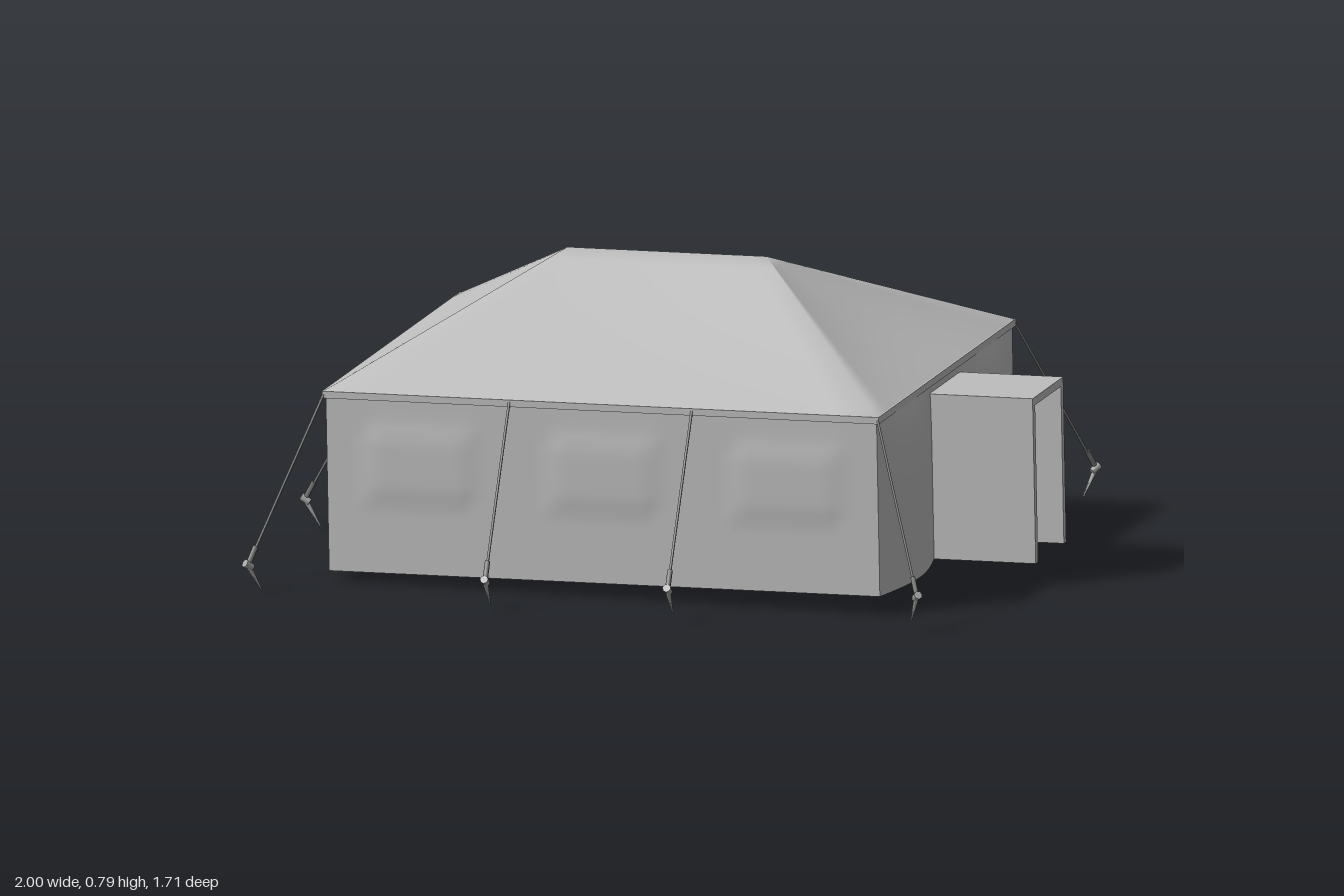
import * as THREE from 'three';
import { mergeVertices } from 'three/addons/utils/BufferGeometryUtils.js';

const HX = 0.733, HZ = 0.59;   // half length and depth of the tent
const WALL = 0.468, RIDGE = 0.738, RIDGE_HX = 0.265;

export function createModel() {
  const canvas = new THREE.MeshStandardMaterial({ name: 'canvas grey', color: 0xbdbdbd, side: THREE.DoubleSide });
  const rope = new THREE.MeshStandardMaterial({ name: 'rope grey', color: 0x7c7c7c });
  const metal = new THREE.MeshStandardMaterial({ name: 'stake grey', color: 0xa8a8a8 });

  const model = new THREE.Group();
  model.name = 'tent';
  const tent = new THREE.Group();
  tent.name = 'pitchedTent';
  model.add(tent);

  const add = (name, geometry, material, parent = tent) => {
    const mesh = new THREE.Mesh(geometry, material);
    mesh.name = name;
    parent.add(mesh);
    return mesh;
  };

  // Round rod between two points
  const rod = (name, a, b, r0, r1, material, parent = tent, sides = 6) => {
    const dir = b.clone().sub(a);
    const mesh = add(name, new THREE.CylinderGeometry(r1, r0, dir.length(), sides), material, parent);
    mesh.position.copy(a).add(b).multiplyScalar(0.5);
    mesh.quaternion.setFromUnitVectors(new THREE.Vector3(0, 1, 0), dir.normalize());
    return mesh;
  };

  // Cloth panel facing +z, pushed out by bulge(u, v)
  const panel = (name, w, h, bulge, x, y, z, turn) => {
    const g = new THREE.PlaneGeometry(w, h, 48, 16);
    const p = g.attributes.position;
    for (let i = 0; i < p.count; i++) {
      p.setZ(i, bulge(p.getX(i) / w + 0.5, p.getY(i) / h + 0.5));
    }
    g.computeVertexNormals();
    const mesh = add(name, g, canvas);
    mesh.position.set(x, y, z);
    mesh.rotation.y = turn;
  };

  // Long walls with three soft window flaps
  const step = (a, b, t) => THREE.MathUtils.smoothstep(t, a, b);
  const flaps = (u, v) => {
    const s = Math.abs(((u * 3) % 1) - 0.5);
    return 0.006 * (1 - step(0.24, 0.32, s)) * step(0.38, 0.46, v) * (1 - step(0.76, 0.84, v));
  };
  panel('frontWall', 2 * HX, WALL, flaps, 0, WALL / 2, HZ, 0);
  panel('backWall', 2 * HX, WALL, flaps, 0, WALL / 2, -HZ, Math.PI);
  panel('plainEndWall', 2 * HZ, WALL, () => 0, -HX, WALL / 2, 0, -Math.PI / 2);

  // Door end: two billowing halves and a lintel
  const doorHalf = 0.112, halfW = HZ - doorHalf;
  for (const s of [-1, 1]) {
    panel('doorEndWall', halfW, WALL, (u, v) => 0.033 * Math.sin(Math.PI * u) * (1 - v ** 8),
      HX, WALL / 2, s * (doorHalf + halfW / 2), Math.PI / 2);
  }
  panel('doorLintel', 2 * doorHalf, WALL - 0.41, () => 0, HX, (WALL + 0.41) / 2, 0, Math.PI / 2);

  // Hipped roof lofted from the eave to the ridge
  const perSide = 14, levels = 14, pos = [], index = [], ring = perSide * 4;
  const corners = [[-1, 1], [1, 1], [1, -1], [-1, -1]];
  for (let j = 0; j <= levels; j++) {
    const t = j / levels;
    const hx = THREE.MathUtils.lerp(HX + 0.006, RIDGE_HX, t), hz = (HZ + 0.006) * (1 - t);
    for (let i = 0; i < ring; i++) {
      const [ax, az] = corners[Math.floor(i / perSide)];
      const [bx, bz] = corners[(Math.floor(i / perSide) + 1) % 4];
      const f = (i % perSide) / perSide;
      const sag = 0.012 * Math.sin(Math.PI * f) * Math.sin(Math.PI * t);
      pos.push(hx * (ax + (bx - ax) * f), WALL + (RIDGE - WALL) * t - sag, hz * (az + (bz - az) * f));
      if (j < levels) {
        const a = j * ring + i, b = j * ring + (i + 1) % ring;
        index.push(a, b, b + ring, a, b + ring, a + ring);
      }
    }
  }
  let roof = new THREE.BufferGeometry();
  roof.setAttribute('position', new THREE.Float32BufferAttribute(pos, 3));
  roof.setIndex(index);
  roof = mergeVertices(roof, 1e-4);
  roof.computeVertexNormals();
  add('roof', roof, canvas);

  // Narrow hem along the eaves
  for (const s of [-1, 1]) {
    add('longEaveHem', new THREE.BoxGeometry(2 * HX + 0.016, 0.018, 0.008), canvas)
      .position.set(0, WALL - 0.008, s * (HZ + 0.004));
    add('endEaveHem', new THREE.BoxGeometry(0.008, 0.018, 2 * HZ + 0.016), canvas)
      .position.set(s * (HX + 0.004), WALL - 0.008, 0);
  }

  // Door porch, open at both ends and below
  const frame = new THREE.Shape();
  const W = 0.133, H = 0.43, T = 0.021;
  [[-W, 0], [-W, H], [W, H], [W, 0], [W - T, 0], [W - T, H - T], [T - W, H - T], [T - W, 0]]
    .forEach(([x, y], i) => (i ? frame.lineTo(x, y) : frame.moveTo(x, y)));
  const porch = add('porch', new THREE.ExtrudeGeometry(frame, { depth: 0.277, bevelEnabled: false }), canvas);
  porch.position.set(HX - 0.002, 0, 0);
  porch.rotation.y = Math.PI / 2;

  // Guy ropes and stakes: start (x, z) and outward reach (x, z)
  const guys = [[-HX, 0, -0.245, 0]];
  for (const sz of [-1, 1]) {
    for (const sx of [-1, 1]) {
      guys.push([sx * HX, sz * HZ, sx * 0.158, sz * 0.19]);
      guys.push([sx * 0.243, sz * HZ, 0, sz * 0.243]);
    }
  }
  for (const [x, z, dx, dz] of guys) {
    const guy = new THREE.Group();
    guy.name = 'guyLine';
    tent.add(guy);
    const out = new THREE.Vector3(dx, 0, dz).normalize();
    const top = new THREE.Vector3(x, WALL - 0.006, z).addScaledVector(out, 0.006);
    const end = new THREE.Vector3(x + dx, 0.055, z + dz);
    const at = (o, y) => end.clone().addScaledVector(out, o).setY(y);
    rod('rope', top, at(-0.008, 0.06), 0.0035, 0.0035, rope, guy);
    rod('ropeLoop', at(-0.026, 0.094), at(-0.002, 0.05), 0.007, 0.007, rope, guy);
    rod('stake', at(0.034 - 0.075, -0.022), at(0, 0.05), 0.002, 0.0075, metal, guy);
    rod('stakeHead', at(-0.014, 0.04), at(0.008, 0.054), 0.009, 0.011, metal, guy, 8);
  }

  // The whole tent stands slightly turned on sloping ground
  tent.rotation.set(0.01, -0.045, 0.017);
  tent.position.set(-0.013, 0.0425, -0.002);
  return model;
}
